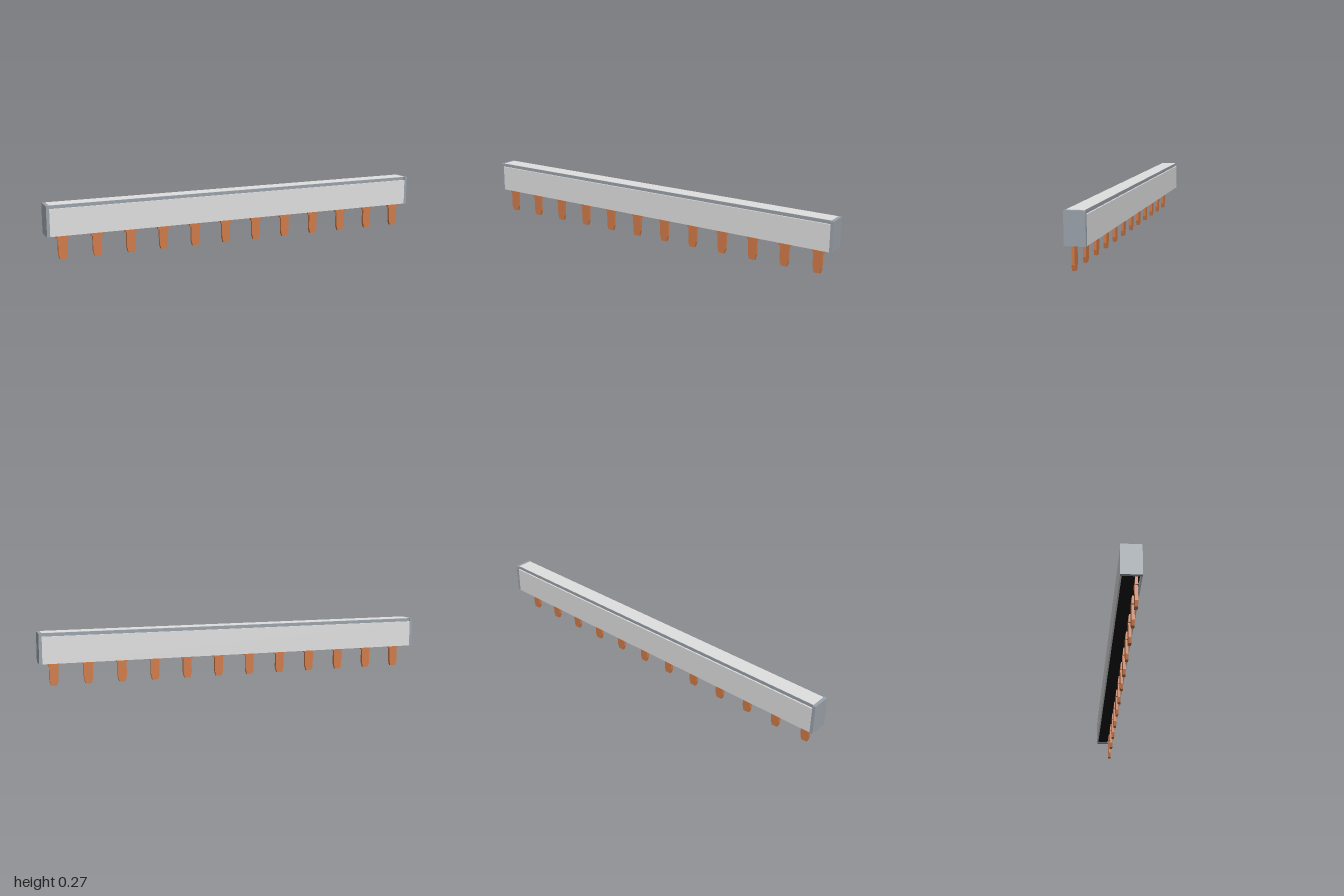
import * as THREE from 'three';

export function createModel() {
  const mat = (name, color) => {
    const m = new THREE.MeshStandardMaterial({ color });
    m.name = name;
    return m;
  };
  const lightGrey = mat('light grey', 0xe0e0e0);
  const slate = mat('slate grey', 0x9ba3ab);
  const copper = mat('copper', 0xd07b49);
  const black = mat('black', 0x141414);

  const model = new THREE.Group();
  model.name = 'busbar';

  const BOTTOM = 0.116, TOP = 0.2645, OUT = 0.0475, IN = 0.04, CAP = 0.015;
  const inner = 1 - CAP;

  // Box given by its minimum and maximum corners
  function box(name, material, x0, x1, y0, y1, z0, z1, parent) {
    const mesh = new THREE.Mesh(new THREE.BoxGeometry(x1 - x0, y1 - y0, z1 - z0), material);
    mesh.position.set((x0 + x1) / 2, (y0 + y1) / 2, (z0 + z1) / 2);
    mesh.name = name;
    parent.add(mesh);
  }

  // Housing: light walls and top strip, with a slate rail set back between them
  const housing = new THREE.Group();
  housing.name = 'housing';
  model.add(housing);
  box('frontWall', lightGrey, -inner, inner, BOTTOM, 0.248, IN, OUT, housing);
  box('backWall', lightGrey, -inner, inner, BOTTOM, 0.248, -OUT, -IN, housing);
  box('topRail', slate, -inner, inner, 0.24, TOP, -IN, IN, housing);
  box('topStrip', lightGrey, -inner, inner, TOP, TOP + 0.0015, -IN, IN, housing);
  box('leftEndCap', slate, inner, 1, BOTTOM, TOP, -OUT, OUT, housing);
  box('rightEndCap', slate, -1, -inner, BOTTOM, TOP, -OUT, OUT, housing);

  // Dark insulating core, with a step that leaves a slot for the pins
  const core = new THREE.Group();
  core.name = 'core';
  model.add(core);
  box('coreUpper', black, -inner, inner, 0.14, 0.24, -IN, IN, core);
  box('coreLower', black, -inner, inner, 0.119, 0.14, -IN, 0.017, core);

  // Pin outline: wide shoulder, straight blade, tapered tip
  const half = [[0.015, 0], [0.022, 0.026], [0.022, 0.099], [0.029, 0.099], [0.029, 0.14]];
  const outline = [...half, ...half.map(([x, y]) => [-x, y]).reverse()];
  const pinShape = new THREE.Shape(outline.map(([x, y]) => new THREE.Vector2(x, y)));
  const pinGeometry = new THREE.ExtrudeGeometry(pinShape, { depth: 0.0145, bevelEnabled: false });

  // Row of twelve evenly spaced pins
  const pins = new THREE.Group();
  pins.name = 'pins';
  model.add(pins);
  for (let i = 0; i < 12; i++) {
    const pin = new THREE.Mesh(pinGeometry, copper);
    pin.name = 'pin' + (i + 1);
    pin.position.set((i - 5.5) * 0.168, 0, 0.017);
    pins.add(pin);
  }
  return model;
}
